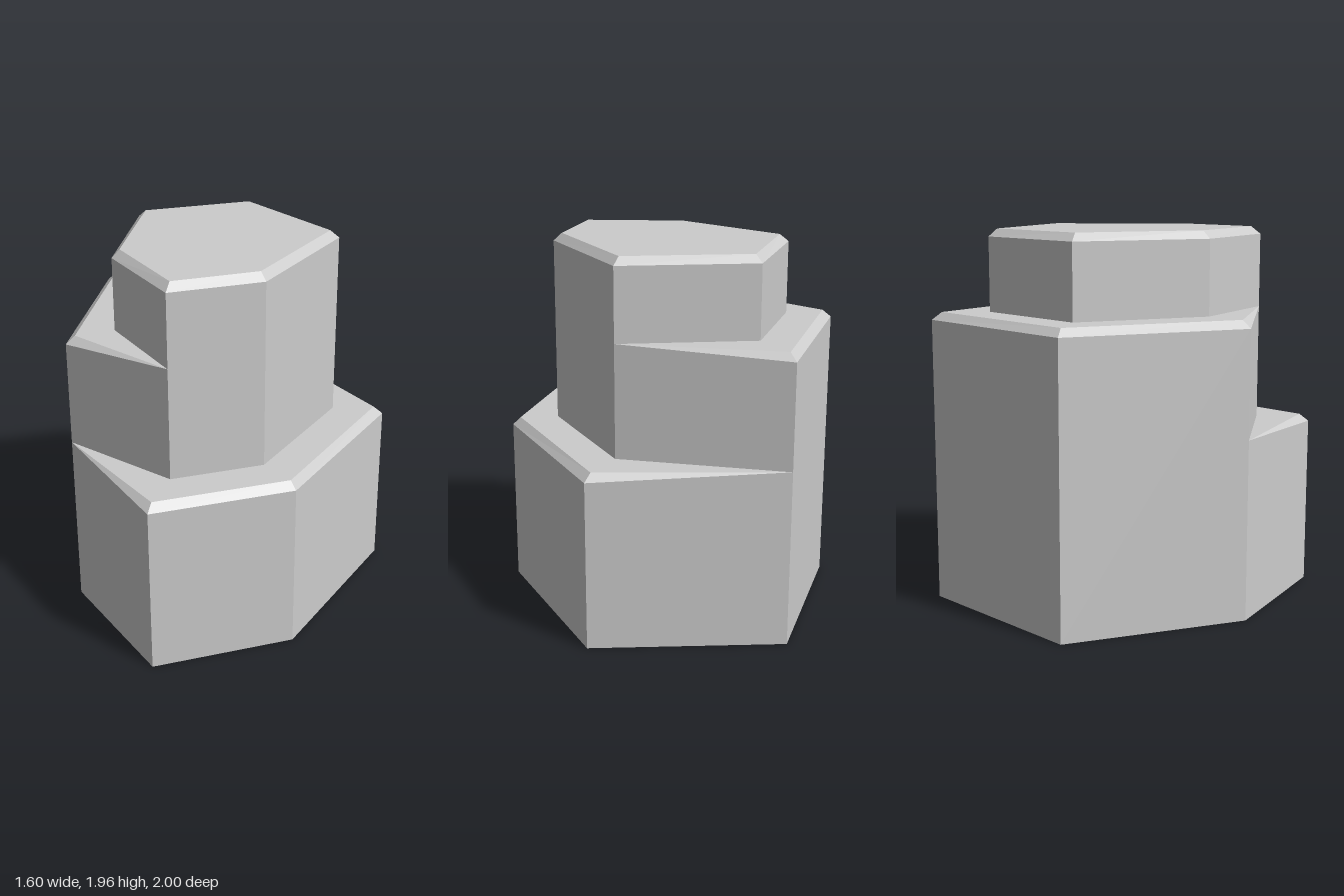
import * as THREE from 'three';

// Plan outlines [x, z], clockwise seen from above, starting at the back corner
const OUTER = [[0.09, -1], [0.8, -0.27], [0.41, 0.665], [-0.27, 0.995], [-0.795, 0.39], [-0.8, -0.59]];
const OUTER_IN = [[0.075, -0.95], [0.75, -0.265], [0.38, 0.635], [-0.26, 0.945], [-0.752, 0.365], [-0.758, -0.563]];
const INNER = [[0, -0.715], [0.527, -0.22], [0.23, 0.495], [-0.212, 0.71], [-0.57, 0.265], [-0.58, -0.45]];
const INNER_IN = [[-0.005, -0.67], [0.48, -0.212], [0.2, 0.463], [-0.202, 0.66], [-0.533, 0.243], [-0.538, -0.422]];

// Lift an outline to a height, or to one height per corner
const ring = (outline, y) =>
  outline.map(([x, z], i) => new THREE.Vector3(x, Array.isArray(y) ? y[i] : y, z));

// Take corners 1, 2, 3 from one outline and the back corners 0, 4, 5 from another
const mix = (front, back) => front.map((p, i) => (i >= 1 && i <= 3 ? p : back[i]));

// Faceted prism: walls from foot to shoulder, bevel from shoulder to cap, flat cap
function tier(name, material, foot, shoulder, cap, { skipWalls = [], bottom = false } = {}) {
  const pos = [];
  const tri = (a, b, c) => {
    const area = b.clone().sub(a).cross(c.clone().sub(a)).length();
    if (area > 1e-6) for (const p of [a, b, c]) pos.push(p.x, p.y, p.z);
  };
  const band = (low, high, i) => {
    const j = (i + 1) % low.length;
    tri(low[j], low[i], high[i]);
    tri(low[j], high[i], high[j]);
  };
  for (let i = 0; i < foot.length; i++) {
    if (!skipWalls.includes(i)) band(foot, shoulder, i);
    band(shoulder, cap, i);
  }
  for (let i = 1; i < cap.length - 1; i++) {
    tri(cap[0], cap[i + 1], cap[i]);
    if (bottom) tri(foot[0], foot[i], foot[i + 1]);
  }
  const geometry = new THREE.BufferGeometry();
  geometry.setAttribute('position', new THREE.Float32BufferAttribute(pos, 3));
  geometry.computeVertexNormals();
  const mesh = new THREE.Mesh(geometry, material);
  mesh.name = name;
  return mesh;
}

export function createModel() {
  const stone = new THREE.MeshStandardMaterial({ color: 0xcccccc, flatShading: true });
  stone.name = 'grey stone';

  const LOW = 0.935, MID = 1.53, TOP = 1.955, BEVEL = 0.04;
  const group = new THREE.Group();
  group.name = 'steppedRock';

  // Low front step; its back walls belong to the middle step
  const lowY = [LOW, LOW - BEVEL, LOW - BEVEL, LOW - BEVEL, LOW, LOW];
  group.add(tier('lowerStep', stone, ring(OUTER, 0), ring(OUTER, lowY),
    ring(mix(OUTER_IN, OUTER), LOW), { skipWalls: [4, 5], bottom: true }));

  // Back step rising from the ground; its front walls belong to the top column
  const midFoot = [0, LOW, LOW, LOW, 0, 0];
  const midY = [MID - BEVEL, MID, MID, MID, MID - BEVEL, MID - BEVEL];
  group.add(tier('middleStep', stone, ring(mix(INNER, OUTER), midFoot), ring(mix(INNER, OUTER), midY),
    ring(mix(INNER, OUTER_IN), MID), { skipWalls: [1, 2] }));

  // Top column, standing on the low step in front and the middle step behind
  const topFoot = [MID, LOW, LOW, LOW, MID, MID];
  group.add(tier('topColumn', stone, ring(INNER, topFoot), ring(INNER, TOP - BEVEL), ring(INNER_IN, TOP)));

  return group;
}
